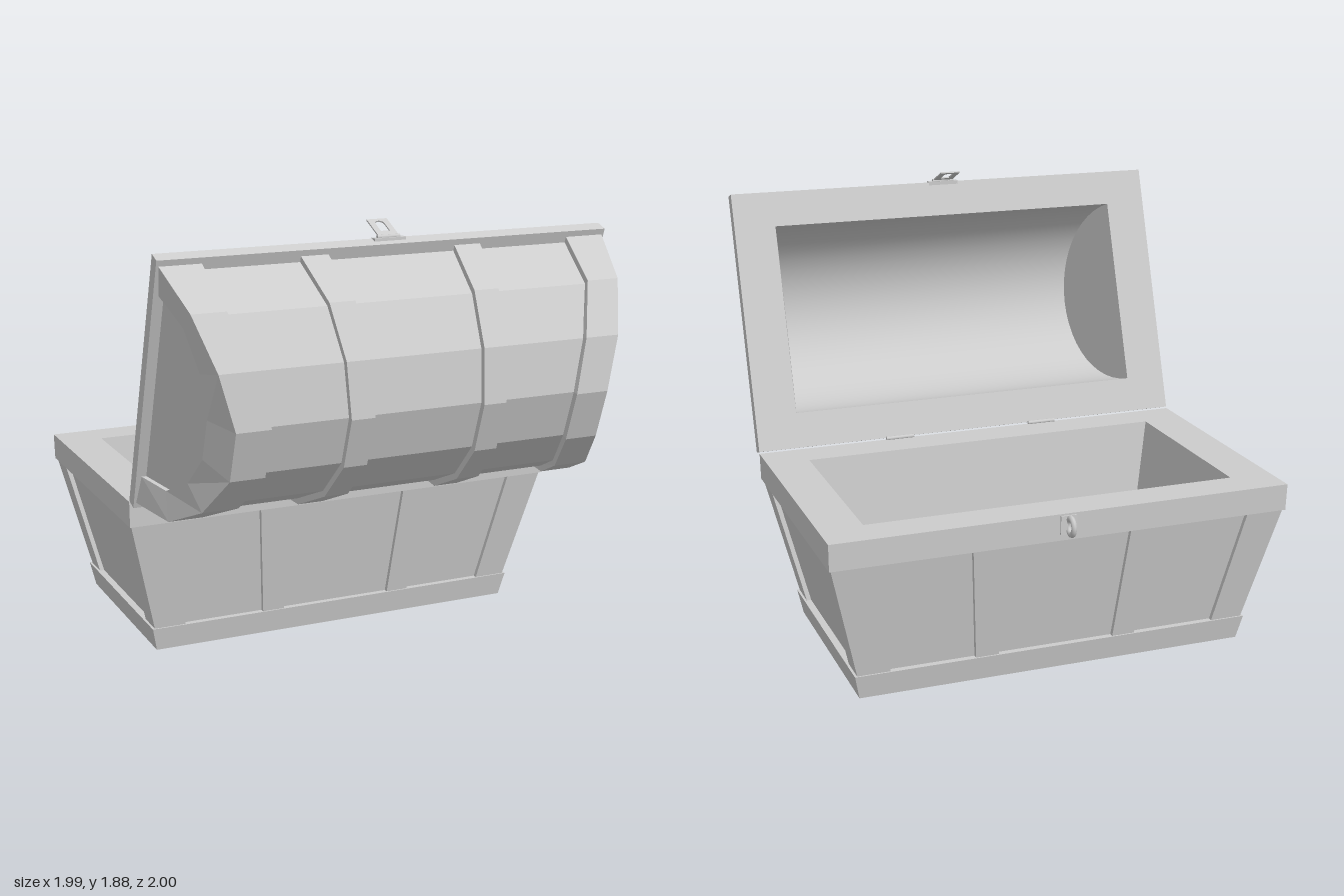
import * as THREE from 'three';

const material = new THREE.MeshStandardMaterial({ color: 0xcccccc, side: THREE.DoubleSide });

function addMesh(parent, name, geometry, pos = [0, 0, 0]) {
  const mesh = new THREE.Mesh(geometry, material);
  mesh.name = name;
  mesh.position.set(...pos);
  parent.add(mesh);
  return mesh;
}

// Skin a list of equal-length cross-sections ([x, y, z] points).
function loft(sections, { closed = true, start = false, end = false, smooth = false } = {}) {
  const n = sections[0].length, index = [];
  for (let i = 0; i < sections.length - 1; i++) {
    for (let j = 0; j < (closed ? n : n - 1); j++) {
      const k = (j + 1) % n;
      const a = i * n + j, b = i * n + k, c = b + n, d = a + n;
      index.push(a, b, c, a, c, d);
    }
  }
  const last = (sections.length - 1) * n;
  for (let j = 1; j < n - 1; j++) {
    if (start) index.push(0, j + 1, j);
    if (end) index.push(last, last + j, last + j + 1);
  }
  let g = new THREE.BufferGeometry();
  g.setAttribute('position', new THREE.Float32BufferAttribute(sections.flat(2), 3));
  g.setIndex(index);
  if (!smooth) g = g.toNonIndexed();
  g.computeVertexNormals();
  return g;
}

// Rectangular ring with half sizes hx, hz at height y.
const ring = ([hx, hz, y]) => [[-hx, y, hz], [hx, y, hz], [hx, y, -hz], [-hx, y, -hz]];

function createBase() {
  const base = new THREE.Group();
  base.name = 'base';
  base.position.z = -0.352;

  addMesh(base, 'plinth', loft([[0.85, 0.452, 0], [0.872, 0.473, 0.105], [0.83, 0.43, 0.105]].map(ring), { start: true }));
  addMesh(base, 'bodyPanels', loft([[0.84, 0.445, 0.1], [0.965, 0.545, 0.615]].map(ring)));
  addMesh(base, 'rim', loft([[0.94, 0.52, 0.615], [0.993, 0.575, 0.615], [0.995, 0.579, 0.73], [0.81, 0.42, 0.73]].map(ring)));
  addMesh(base, 'interior', loft([[0.81, 0.42, 0.73], [0.71, 0.35, 0.1]].map(ring), { end: true }));

  // L-shaped corner straps
  for (const sx of [-1, 1]) for (const sz of [-1, 1]) {
    const section = (hx, hz, wx, wz, y) => {
      const t = 0.03;
      const pts = [[hx, hz], [hx, hz - wz], [hx - t, hz - wz], [hx - t, hz - t], [hx - wx, hz - t], [hx - wx, hz]]
        .map(([x, z]) => [x * sx, y, z * sz]);
      return sx * sz < 0 ? pts.reverse() : pts;
    };
    addMesh(base, 'cornerStrap', loft([section(0.86, 0.465, 0.14, 0.125, 0.1), section(0.985, 0.564, 0.165, 0.14, 0.615)]));

    // Upright straps on the long walls
    const upright = (xa, xb, hz, y) => {
      const pts = [[xa, hz], [xb, hz], [xb, hz - 0.03], [xa, hz - 0.03]].map(([x, z]) => [x * sx, y, z * sz]);
      return sx * sz < 0 ? pts.reverse() : pts;
    };
    addMesh(base, 'wallStrap', loft([upright(0.255, 0.355, 0.465, 0.1), upright(0.285, 0.4, 0.564, 0.615)]));
  }
  return base;
}

// Half profiles of the lid from rim to crest: [z, y]
const mirrorProfile = (half) => [...half, ...half.map(([z, y]) => [-z, y]).reverse()];
const outerProfile = mirrorProfile([[0.549, 0.054], [0.476, 0.302], [0.315, 0.48], [0.11, 0.577]]);
const endProfile = mirrorProfile([[0.42, 0.054], [0.375, 0.23], [0.25, 0.365], [0.09, 0.44]]);
const strapOuterX = [0.985, 0.935, 0.872, 0.815];
const strapInnerX = [0.81, 0.79, 0.72, 0.67];
const step = (i) => Math.min(i, 7 - i);
const endX = (y) => 0.985 - 0.24 * y;

function createLid() {
  const lid = new THREE.Group();
  lid.name = 'lid';
  lid.position.set(0, 1.28, 0.419);
  lid.rotation.x = Math.PI - Math.acos(0.328);

  addMesh(lid, 'lidRim', loft([[0.81, 0.42, 0], [0.995, 0.575, 0], [0.995, 0.575, 0.055], [0.93, 0.5, 0.055]].map(ring)));

  // Faceted barrel panels
  const inset = 0.955;
  addMesh(lid, 'lidPanels', loft(outerProfile.map(([z, y], i) => {
    const x = strapOuterX[step(i)] - 0.03;
    return [[-x, y * inset, z * inset], [x, y * inset, z * inset]];
  }), { closed: false }));

  // Smooth hollow inside
  const arc = Array.from({ length: 25 }, (_, i) => {
    const a = i / 24 * Math.PI;
    return [0.42 * Math.cos(a), 0.43 * Math.sin(a)];
  });
  const hollowX = (y) => 0.81 - 0.1 * y / 0.43;
  addMesh(lid, 'lidInterior', loft(arc.map(([z, y]) => [[hollowX(y), y, z], [-hollowX(y), y, z]]), { closed: false, smooth: true }));

  for (const s of [-1, 1]) {
    const orient = (pts) => {
      const out = pts.map(([x, y, z]) => [x * s, y, z]);
      return s < 0 ? out.reverse() : out;
    };
    // End walls, inside and outside
    const hollowEnd = orient(arc.map(([z, y]) => [hollowX(y), y, z]).reverse());
    addMesh(lid, 'lidInteriorEnd', loft([hollowEnd], { start: true }));
    const endPanel = orient(endProfile.map(([z, y]) => [endX(y) - 0.02, y, z]));
    addMesh(lid, 'lidEndPanel', loft([endPanel], { end: true }));

    // Strap wrapping the end edge of the barrel
    addMesh(lid, 'lidEndStrap', loft(outerProfile.map(([z, y], i) => {
      const [ez, ey] = endProfile[i], xi = strapInnerX[step(i)];
      return orient([
        [xi, y * 0.94, z * 0.94], [xi, y, z], [strapOuterX[step(i)], y, z],
        [endX(ey), ey, ez], [endX(ey) - 0.03, ey, ez],
      ]);
    }), { closed: false }));

    // Strap over the barrel
    addMesh(lid, 'lidStrap', loft(outerProfile.map(([z, y]) => {
      const t = y / 0.577, xa = 0.285 - 0.045 * t, xb = 0.405 - 0.065 * t;
      return orient([[xa, y, z], [xb, y, z], [xb, y * 0.94, z * 0.94], [xa, y * 0.94, z * 0.94]]);
    }), { start: true, end: true }));
  }
  return lid;
}

function createFittings() {
  const fittings = new THREE.Group();
  fittings.name = 'fittings';

  // Slotted hasp on the free edge of the lid
  const plate = new THREE.Shape([[-0.045, 0], [0.045, 0], [0.045, 0.125], [-0.045, 0.125]].map((p) => new THREE.Vector2(...p)));
  const slot = new THREE.Path();
  slot.moveTo(-0.02, 0.035);
  slot.lineTo(0.02, 0.035);
  slot.lineTo(0.02, 0.09);
  slot.absarc(0, 0.09, 0.02, 0, Math.PI, false);
  slot.lineTo(-0.02, 0.035);
  plate.holes.push(slot);
  const hasp = addMesh(fittings, 'hasp', new THREE.ExtrudeGeometry(plate, { depth: 0.006, bevelEnabled: false }), [0, 1.828, 0.615]);
  hasp.rotation.x = -1.147;
  addMesh(fittings, 'haspMount', new THREE.BoxGeometry(0.14, 0.016, 0.03), [0, 1.818, 0.618]);
  const pin = addMesh(fittings, 'haspPin', new THREE.CylinderGeometry(0.009, 0.009, 0.1, 10), [0, 1.828, 0.613]);
  pin.rotation.z = Math.PI / 2;

  // Staple ring on the base
  const staple = addMesh(fittings, 'staple', new THREE.TorusGeometry(0.03, 0.012, 8, 20), [0, 0.682, -0.957]);
  staple.rotation.y = Math.PI / 2;
  staple.scale.y = 1.12;
  addMesh(fittings, 'staplePlate', new THREE.BoxGeometry(0.07, 0.08, 0.01), [0, 0.682, -0.932]);

  // Hinges
  for (const s of [-1, 1]) {
    addMesh(fittings, 'hingePlate', new THREE.BoxGeometry(0.13, 0.05, 0.008), [s * 0.345, 0.705, 0.228]);
    const knuckle = addMesh(fittings, 'hingeKnuckle', new THREE.CylinderGeometry(0.009, 0.009, 0.13, 10), [s * 0.345, 0.735, 0.226]);
    knuckle.rotation.z = Math.PI / 2;
  }
  return fittings;
}

export function createModel() {
  const chest = new THREE.Group();
  chest.name = 'chest';
  chest.add(createBase(), createLid(), createFittings());
  return chest;
}
